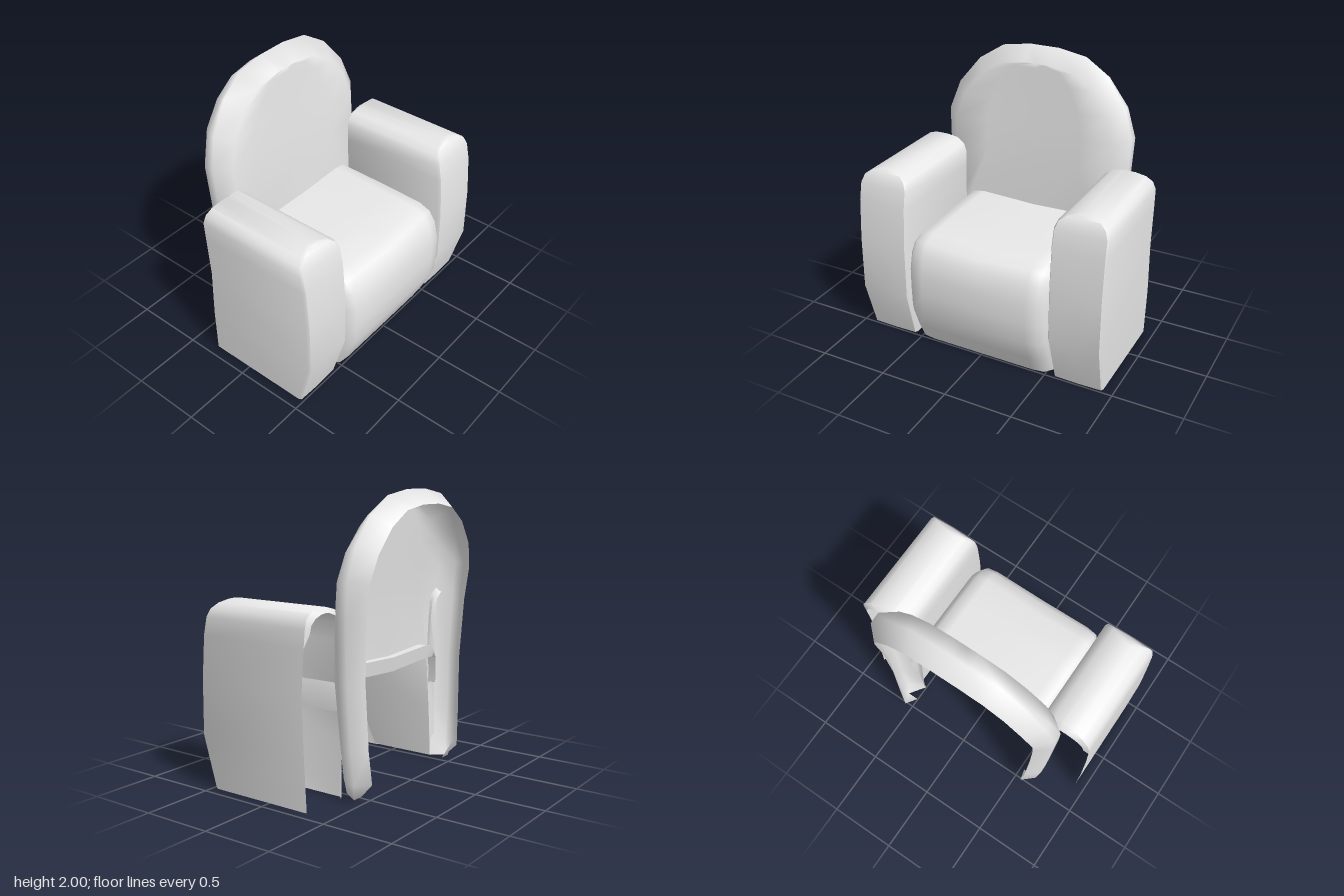
import * as THREE from 'three';
import { toCreasedNormals } from 'three/addons/utils/BufferGeometryUtils.js';

// Skin a grid of cross-sections; skip(i, j) leaves openings
function loft(rows, crease, skip = () => false) {
  const pos = [];
  for (let i = 0; i < rows.length - 1; i++) {
    for (let j = 0; j < rows[i].length - 1; j++) {
      if (skip(i, j)) continue;
      const a = rows[i][j], b = rows[i][j + 1], c = rows[i + 1][j + 1], d = rows[i + 1][j];
      pos.push(...a, ...b, ...c, ...a, ...c, ...d);
    }
  }
  const g = new THREE.BufferGeometry();
  g.setAttribute('position', new THREE.Float32BufferAttribute(pos, 3));
  return toCreasedNormals(g, crease);
}

// Complete a left half row with its mirror image
const mirrorRow = (half, centre) => [
  ...half.map(([x, y, z]) => [-x, y, z]),
  ...centre,
  ...half.slice().reverse(),
];

// Padded arm, inner side at -x: open at the back and below.
// Levels: y, half width, front z, back z
function armGeometry() {
  const levels = [
    [0, 0.182, 0.48, -0.31], [0.36, 0.193, 0.577, -0.3], [0.75, 0.193, 0.573, -0.285],
    [1.05, 0.193, 0.55, -0.305], [1.17, 0.191, 0.525, -0.315], [1.225, 0.17, 0.505, -0.31],
    [1.26, 0.12, 0.48, -0.3], [1.28, 0.05, 0.455, -0.285], [1.284, 0, 0.445, -0.28],
  ];
  const rows = levels.map(([y, w, zf, zb]) => {
    const row = mirrorRow([[w, y, zb], [w, y, zf - 0.02], [w * 0.94, y, zf]], [[0, y, zf + 0.005]]);
    // The rear hem turns in on the inner side and over the top
    const hem = [w * 0.82, y > 1.1 ? y - 0.035 : y, -0.325];
    return [[-hem[0], hem[1], hem[2]], ...row, y > 1.1 ? hem : [w, y, zb]];
  });
  return loft(rows, 0.75);
}

// Seat cushion: profile points y, z, outward direction ny, nz, centre dip
function seatGeometry() {
  const profile = [
    [0.01, 0.43, 0, 1, 0], [0, 0.485, 0, 1, 0], [0.14, 0.555, 0, 1, 0], [0.3, 0.615, 0, 1, 0],
    [0.45, 0.62, 0, 1, 0], [0.6, 0.618, 0, 1, 0], [0.74, 0.585, 0.3, 0.95, 0.01],
    [0.82, 0.53, 0.7, 0.7, 0.025], [0.855, 0.44, 0.95, 0.3, 0.035],
    [0.865, 0.2, 1, 0, 0.03], [0.87, -0.1, 1, 0, 0.022], [0.87, -0.35, 1, 0, 0.018],
  ];
  const across = [[0.55, 0.3], [0.55, 0.11], [0.525, 0.06], [0.485, 0.012], [0.4, 0]];
  const rows = profile.map(([y, z, ny, nz, dip]) => mirrorRow(
    across.map(([x, d]) => [x, y - ny * d, z - nz * d]),
    [[0, y - dip, z]],
  ));
  // Short turned-down hem at the rear
  rows.push(mirrorRow(across.map(([x, d]) => [x, Math.min(0.77, 0.87 - d), -0.335]), [[0, 0.75, -0.335]]));
  return loft(rows, 1.1);
}

// Arched back shell with two legs. Levels: y, half width, front z, rim z, rear z
function backGeometry() {
  const levels = [
    [0.01, 0.6, -0.31, -0.43, -0.43], [0.12, 0.635, -0.307, -0.42, -0.535],
    [0.35, 0.665, -0.298, -0.415, -0.525],
    [0.78, 0.69, -0.27, -0.405, -0.515], [1.2, 0.715, -0.29, -0.415, -0.535],
    [1.45, 0.725, -0.313, -0.43, -0.565], [1.66, 0.655, -0.335, -0.455, -0.59],
    [1.85, 0.505, -0.355, -0.48, -0.605], [1.965, 0.325, -0.366, -0.495, -0.615],
    [2, 0.11, -0.37, -0.5, -0.62], [2, 0, -0.37, -0.5, -0.62],
  ];
  const archY = 1.3, k = 0.86;
  const rows = levels.map(([y, w, zf, zm, zb], i) => {
    const yi = y > archY ? archY + (y - archY) * k : y;
    const lip = i < 4 ? 0.52 : w * k * 0.6;
    // The rim is blunt at the sides and pointed at the crown and feet
    const blunt = i === 0 ? 0 : 0.035 * Math.min(1, (2 - y) / 0.5);
    const dish = w > 0.2 ? 0.02 * Math.min(1, (2 - y) / 0.7) : 0;
    return mirrorRow([
      [w * k, yi, zb],
      [w, y, zm - blunt],
      [w, y, zm + blunt],
      [w * k, yi, zf],
      [lip, yi, zf - dish * 0.4],
    ], [[0, yi, zf - dish]]);
  });
  // The front panel stops at seat height, leaving only the legs below
  return loft(rows, 1.9, (i, j) => i < 3 && (j === 4 || j === 5));
}

export function createModel() {
  const group = new THREE.Group();
  const upholstery = new THREE.MeshStandardMaterial({ color: 0xe7e7e7, side: THREE.DoubleSide });
  upholstery.name = 'light grey upholstery';

  const add = (name, geometry, x = 0) => {
    const mesh = new THREE.Mesh(geometry, upholstery);
    mesh.name = name;
    mesh.position.x = x;
    group.add(mesh);
    return mesh;
  };

  const arm = armGeometry();
  add('leftArm', arm, 0.742);
  add('rightArm', arm, -0.742).scale.x = -1;
  add('seat', seatGeometry());
  add('backrest', backGeometry(), -0.015);
  return group;
}
